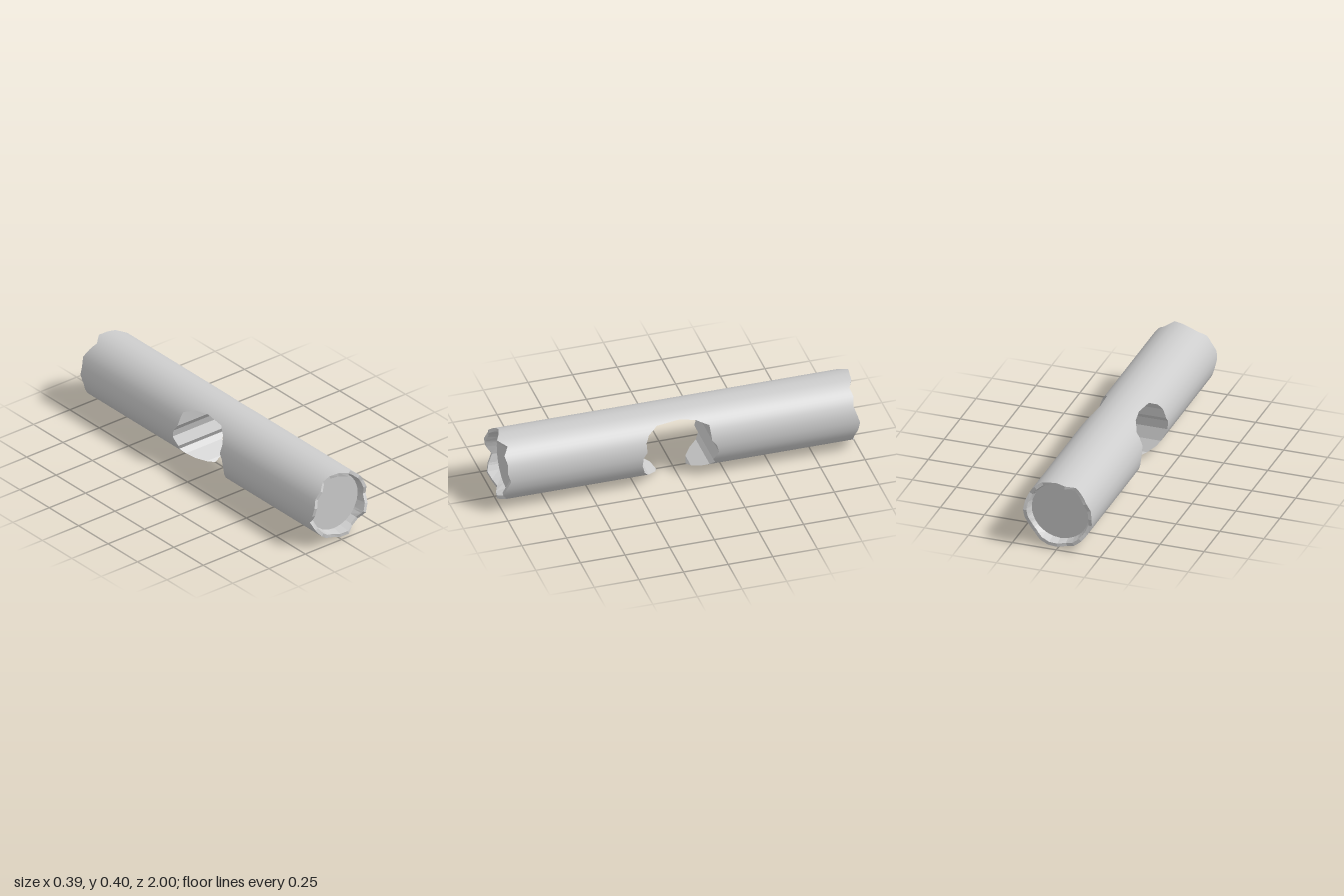
import * as THREE from 'three';

const R = 0.193, CY = 0.204;          // outer radius and axis height
const RAD = Math.PI / 180;

// Jagged end distances, one value every 15 degrees starting at +x
const FRONT_END = [.965, .98, .975, .985, .955, 1, .975, .96, .96, .99, .985, 1,
  .99, .96, .985, 1, .985, .97, .99, 1, .97, .97, 1, .99];
const BACK_END = [.99, .975, .96, .97, .96, .985, .99, 1, .96, .975, .99, .975,
  .98, .96, .97, .985, .99, .97, .985, .99, .985, .965, .965, .98];

// Edge of the crosswise opening, bottom to top: [y, distance from centre]
const FRONT_GAP = [[.011, .094], [.036, .163], [.095, .206], [.16, .227], [.212, .222],
  [.24, .2], [.29, .2], [.325, .18], [.356, .126], [.364, 0]];
const BACK_GAP = [[.011, .072], [.057, .168], [.085, .19], [.116, .174], [.17, .2],
  [.212, .19], [.25, .163], [.325, .158], [.354, .088], [.364, 0]];

function endAt(ends, deg) {
  const k = (((deg % 360) + 360) % 360) / 15, i = Math.floor(k);
  return THREE.MathUtils.lerp(ends[i % 24], ends[(i + 1) % 24], k - i);
}

function gapAt(gap, y) {
  if (y >= 0.364 - 1e-6) return 0;
  for (let i = 1; i < gap.length; i++) {
    const [y0, z0] = gap[i - 1], [y1, z1] = gap[i];
    if (y <= y1) return THREE.MathUtils.lerp(z0, z1, Math.max(0, (y - y0) / (y1 - y0)));
  }
  return 0;
}

// Heights shared by the skin and the opening, as angles from -90 to 90
function sideAngles(gap) {
  const list = [];
  for (let d = -90; d <= 90; d += 15) list.push(d);
  for (const [y] of gap.slice(1)) list.push(Math.asin((y - CY) / R) / RAD);
  return list.sort((a, b) => a - b);
}

// Skin a list of rows of points; radial normals when smooth
function skin(rows, flip, smooth) {
  const pos = [], nor = [], idx = [], n = rows[0].length;
  for (const row of rows) for (const [x, y, z] of row) {
    pos.push(x, y, z);
    const l = Math.hypot(x, y - CY) || 1;
    nor.push(x / l, (y - CY) / l, 0);
  }
  for (let r = 0; r < rows.length - 1; r++) for (let i = 0; i < n - 1; i++) {
    const a = r * n + i, b = a + n, c = b + 1, d = a + 1;
    if (flip) idx.push(a, c, b, a, d, c);
    else idx.push(a, b, c, a, c, d);
  }
  let g = new THREE.BufferGeometry();
  g.setAttribute('position', new THREE.Float32BufferAttribute(pos, 3));
  g.setIndex(idx);
  if (smooth) g.setAttribute('normal', new THREE.Float32BufferAttribute(nor, 3));
  else {
    g = g.toNonIndexed();
    g.computeVertexNormals();
  }
  return g;
}

function makeHalf(name, s, ends, gap, material) {
  const half = new THREE.Group();
  half.name = name;
  const add = (part, geometry) => {
    const m = new THREE.Mesh(geometry, material);
    m.name = part;
    half.add(m);
  };
  const side = sideAngles(gap);
  const angles = [...side, ...side.slice(0, -1).reverse().map(d => 180 - d)];
  const ring = (r, zOf) => angles.map(d =>
    [r * Math.cos(d * RAD), CY + r * Math.sin(d * RAD), s * zOf(d)]);
  const jag = d => endAt(ends, d);
  const heightOf = d => CY + R * Math.sin(d * RAD);
  const flip = s < 0;

  // Outer skin from the jagged end to the opening, drooping to a point underneath
  const edge = ring(R, d => gapAt(gap, heightOf(d)));
  edge[0][1] = edge[edge.length - 1][1] = 0;
  add('outerSkin', skin([ring(R, jag), ring(R, () => 0.25), edge], flip, true));

  // Broken rim, shallow recess and end disc
  const rimInner = ring(0.174, jag), discEdge = ring(0.163, () => 0.935);
  add('brokenRim', skin([rimInner, ring(R, jag)], flip, false));
  add('recessWall', skin([discEdge, rimInner], flip, false));
  add('endDisc', skin([ring(0, () => 0.935), discEdge], flip, false));

  // Wall and ceiling of the opening, running straight across
  const rightRow = edge.slice(0, side.length).filter(p => p[1] <= 0.3641);
  const leftRow = rightRow.map(([x, y, z]) => [-x, y, z]);
  add('openingWall', skin([rightRow, leftRow], flip, false));
  return half;
}

export function createModel() {
  const model = new THREE.Group();
  model.name = 'hollowedLog';
  const material = new THREE.MeshStandardMaterial({ color: 0xcccccc });
  model.add(makeHalf('frontHalf', 1, FRONT_END, FRONT_GAP, material));
  model.add(makeHalf('backHalf', -1, BACK_END, BACK_GAP, material));
  return model;
}
